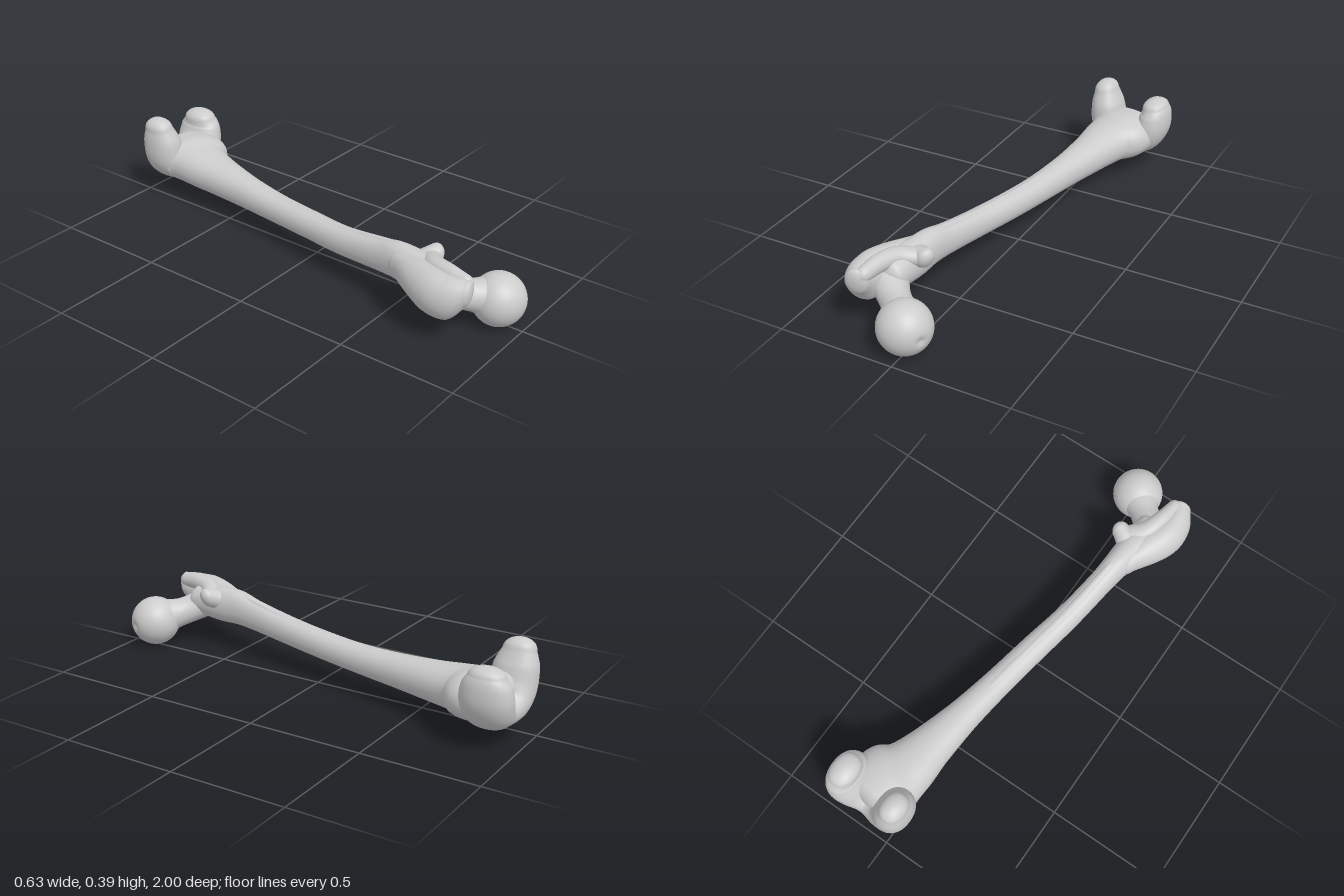
import * as THREE from 'three';

const Y = new THREE.Vector3(0, 1, 0);
const Z = new THREE.Vector3(0, 0, 1);

// Smooth skin through rows of [x, y, z, halfWidth, halfDepth], with domed ends.
// halfDepth runs along the fixed axis, halfWidth across it and the path.
function loft(rows, axis, caps, { steps = 6, sides = 32, power = 2 } = {}) {
  const path = new THREE.CatmullRomCurve3(rows.map(r => new THREE.Vector3(r[0], r[1], r[2])), false, 'centripetal');
  const size = new THREE.CatmullRomCurve3(rows.map((r, i) => new THREE.Vector3(r[3], r[4], i * 0.02)), false, 'centripetal');
  const rings = [];
  const addRing = (t, push, scale) => {
    const tangent = path.getTangent(t);
    const s = size.getPoint(t);
    rings.push({
      c: path.getPoint(t).addScaledVector(tangent, push),
      u: axis.clone().cross(tangent).normalize(),
      a: s.x * scale, b: s.y * scale
    });
  };
  const dome = 7;
  const count = (rows.length - 1) * steps;
  for (let i = 0; i < dome; i++) {
    const k = (i / dome) * Math.PI / 2;
    addRing(0, -caps[0] * Math.cos(k), Math.max(Math.sin(k), 0.002));
  }
  for (let i = 0; i <= count; i++) addRing(i / count, 0, 1);
  for (let i = dome - 1; i >= 0; i--) {
    const k = (i / dome) * Math.PI / 2;
    addRing(1, caps[1] * Math.cos(k), Math.max(Math.sin(k), 0.002));
  }
  const round = v => Math.sign(v) * Math.abs(v) ** (2 / power);
  const pos = [], index = [];
  rings.forEach((r, i) => {
    for (let j = 0; j < sides; j++) {
      const k = (j / sides) * Math.PI * 2;
      const p = r.c.clone()
        .addScaledVector(r.u, r.a * round(Math.cos(k)))
        .addScaledVector(axis, r.b * round(Math.sin(k)));
      pos.push(p.x, p.y, p.z);
      if (i === rings.length - 1) continue;
      const n = (j + 1) % sides, A = i * sides, B = A + sides;
      index.push(A + j, A + n, B + j, A + n, B + n, B + j);
    }
  });
  const geo = new THREE.BufferGeometry();
  geo.setAttribute('position', new THREE.Float32BufferAttribute(pos, 3));
  geo.setIndex(index);
  geo.computeVertexNormals();
  return geo;
}

// Ball with a small pit on its inner side
function headGeometry(radius) {
  const geo = new THREE.SphereGeometry(radius, 64, 48);
  const pit = new THREE.Vector3(0.92, -0.08, 0.38).normalize();
  const p = geo.attributes.position, v = new THREE.Vector3();
  for (let i = 0; i < p.count; i++) {
    v.fromBufferAttribute(p, i).normalize();
    const d = v.angleTo(pit) / 0.2;
    v.multiplyScalar(radius - 0.012 * Math.exp(-d * d * 1.5));
    p.setXYZ(i, v.x, v.y, v.z);
  }
  geo.computeVertexNormals();
  return geo;
}

export function createModel() {
  const group = new THREE.Group();
  const bone = new THREE.MeshStandardMaterial({ color: 0xcccccc });
  bone.name = 'bone';
  const add = (name, geo) => {
    const mesh = new THREE.Mesh(geo, bone);
    mesh.name = name;
    group.add(mesh);
    return mesh;
  };

  // Long shaft, flaring at both ends
  add('shaft', loft([
    [-0.185, 0.205, 0.72, 0.095, 0.075],
    [-0.148, 0.207, 0.6, 0.068, 0.08],
    [-0.134, 0.209, 0.5, 0.056, 0.078],
    [-0.12, 0.195, 0.4, 0.051, 0.069],
    [-0.088, 0.172, 0.2, 0.053, 0.062],
    [-0.047, 0.16, 0, 0.057, 0.06],
    [-0.01, 0.153, -0.2, 0.06, 0.062],
    [0.025, 0.155, -0.4, 0.07, 0.07],
    [0.06, 0.163, -0.6, 0.095, 0.082],
    [0.082, 0.172, -0.72, 0.122, 0.09],
    [0.11, 0.18, -0.8, 0.155, 0.1],
    [0.12, 0.18, -0.88, 0.15, 0.095]
  ], Y, [0.05, 0.06], { sides: 40, power: 2.15 }));

  // Low ridge along the back of the shaft
  add('shaftRidge', loft([
    [-0.125, 0.268, 0.47, 0.016, 0.014],
    [-0.085, 0.224, 0.2, 0.018, 0.013],
    [-0.047, 0.209, 0, 0.018, 0.013],
    [-0.012, 0.205, -0.2, 0.018, 0.012],
    [0.01, 0.207, -0.34, 0.014, 0.01]
  ], Y, [0.08, 0.08], { sides: 16 }));

  // Horseshoe of the knee end: both condyles and the groove joining them
  add('condyles', loft([
    [-0.01, 0.345, -0.905, 0.052, 0.066],
    [0, 0.28, -0.9, 0.071, 0.09],
    [0.02, 0.195, -0.895, 0.08, 0.096],
    [0.07, 0.145, -0.89, 0.07, 0.095],
    [0.14, 0.132, -0.885, 0.06, 0.086],
    [0.205, 0.165, -0.885, 0.076, 0.104],
    [0.238, 0.22, -0.888, 0.076, 0.109],
    [0.25, 0.28, -0.89, 0.065, 0.098],
    [0.247, 0.315, -0.89, 0.056, 0.075]
  ], Z, [0.045, 0.038], { steps: 8, sides: 40, power: 2.2 }));

  // Ball of the hip and the neck carrying it
  add('head', headGeometry(0.11)).position.set(-0.005, 0.114, 0.89);
  add('neck', loft([
    [-0.2, 0.2, 0.7, 0.085, 0.07],
    [-0.14, 0.165, 0.765, 0.07, 0.066],
    [-0.09, 0.143, 0.81, 0.063, 0.066],
    [-0.03, 0.122, 0.865, 0.085, 0.085]
  ], Y, [0.03, 0.02]));

  // Large outer knob beside the neck
  add('greaterTrochanter', loft([
    [-0.17, 0.21, 0.54, 0.04, 0.06],
    [-0.2, 0.207, 0.65, 0.075, 0.08],
    [-0.234, 0.2, 0.74, 0.077, 0.093],
    [-0.238, 0.202, 0.81, 0.069, 0.09],
    [-0.222, 0.235, 0.872, 0.048, 0.055]
  ], Y, [0.06, 0.025]));

  // Crest running from the large knob to the small one
  add('crest', loft([
    [-0.2, 0.265, 0.85, 0.03, 0.033],
    [-0.187, 0.27, 0.77, 0.036, 0.038],
    [-0.16, 0.266, 0.69, 0.04, 0.036],
    [-0.11, 0.25, 0.64, 0.042, 0.036]
  ], Y, [0.035, 0.03]));

  // Small inner knob
  add('lesserTrochanter', loft([
    [-0.14, 0.22, 0.605, 0.065, 0.055],
    [-0.105, 0.238, 0.62, 0.05, 0.048],
    [-0.073, 0.25, 0.632, 0.04, 0.043]
  ], Y, [0.03, 0.04]));

  return group;
}
